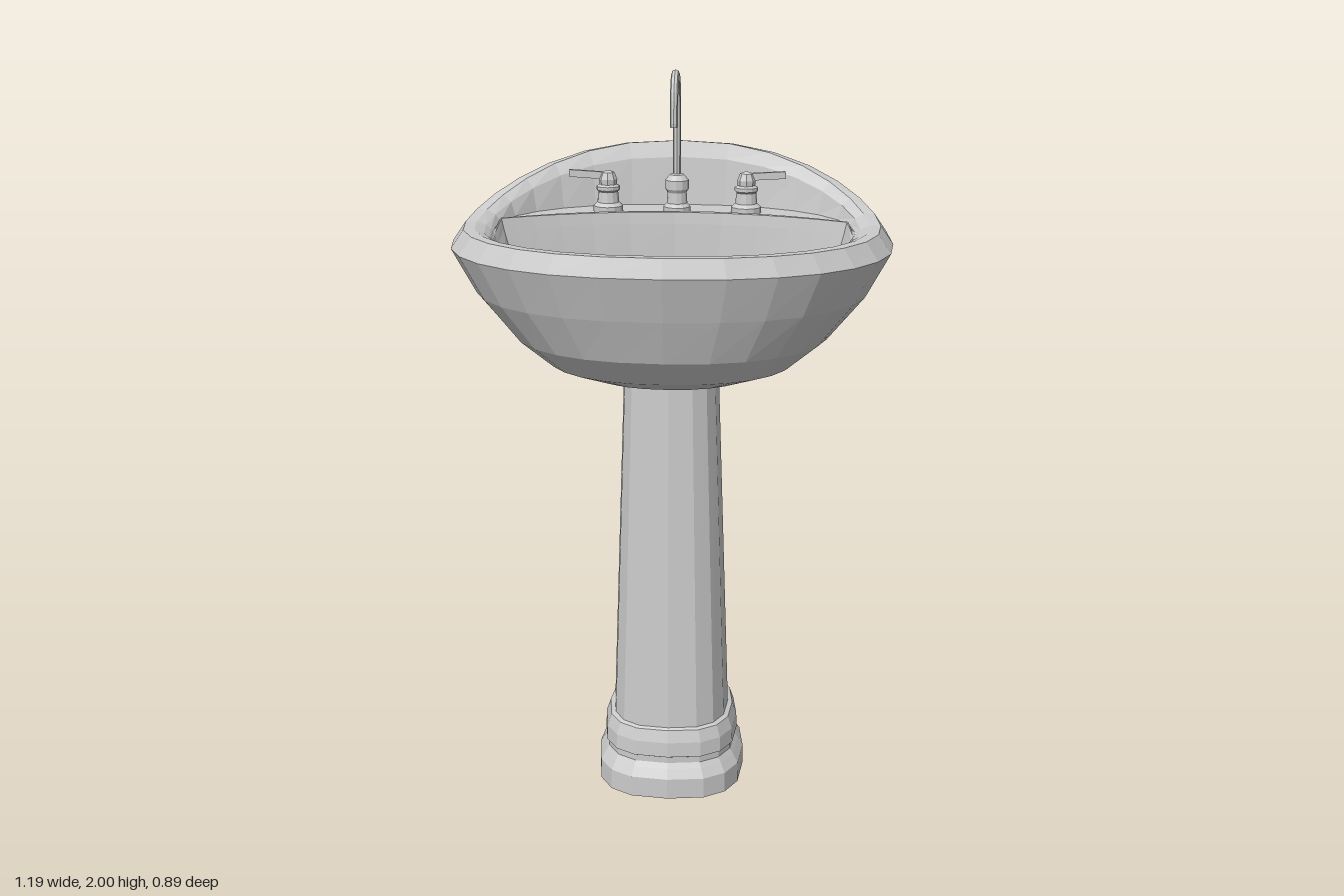
import * as THREE from 'three';

const SEG = 28;
const material = () => new THREE.MeshStandardMaterial({ color: 0xcccccc, flatShading: true });

function addMesh(parent, name, geometry, x = 0, y = 0, z = 0) {
  const mesh = new THREE.Mesh(geometry, material());
  mesh.name = name;
  mesh.position.set(x, y, z);
  parent.add(mesh);
  return mesh;
}

// Rounded oval ring: half width a, reach to the front and back, height y.
// rise lifts the back; arc (if given) cuts the back off along a curved ledge line.
function ring({ a, front, back, y, rise = 0, arc = null, bump = 0, power = 2.3, n = SEG, shift = 0 }) {
  const points = [];
  const soft = (v) => Math.sign(v) * Math.pow(Math.abs(v), 2 / power);
  for (let i = 0; i < n; i++) {
    const t = (i / n) * Math.PI * 2;
    const x = a * soft(Math.cos(t));
    const s = soft(Math.sin(t));
    let z = s * (s > 0 ? front : back);
    let h = y + (s < 0 ? rise * s * s : 0);
    if (arc !== null) {
      const limit = arc * (1 - 0.7 * (x / a) ** 2);
      if (z < limit) {
        z = limit;
        h += bump;
      }
    }
    points.push(new THREE.Vector3(x, h, z + shift));
  }
  return points;
}

// Skin a list of rings and close both ends with fans
function loft(rings) {
  const n = rings[0].length;
  const position = [];
  const index = [];
  rings.forEach((r) => r.forEach((p) => position.push(p.x, p.y, p.z)));
  for (let i = 0; i < rings.length - 1; i++) {
    for (let j = 0; j < n; j++) {
      const k = (j + 1) % n;
      const a = i * n + j, b = i * n + k, c = a + n, d = b + n;
      index.push(a, c, b, b, c, d);
    }
  }
  [0, rings.length - 1].forEach((i) => {
    const center = new THREE.Vector3();
    rings[i].forEach((p) => center.addScaledVector(p, 1 / n));
    const m = position.length / 3;
    position.push(center.x, center.y, center.z);
    for (let j = 0; j < n; j++) {
      const p = i * n + j, q = i * n + ((j + 1) % n);
      if (i === 0) index.push(m, p, q);
      else index.push(m, q, p);
    }
  });
  const geometry = new THREE.BufferGeometry();
  geometry.setAttribute('position', new THREE.Float32BufferAttribute(position, 3));
  geometry.setIndex(index);
  geometry.computeVertexNormals();
  return geometry;
}

const lathe = (profile, sides = 12) =>
  new THREE.LatheGeometry(profile.map(([r, y]) => new THREE.Vector2(r, y)), sides);

function createBasin() {
  // Underside, rim and inner wall: half width, front, back, height, back rise
  const shell = [
    [0.13, 0.16, 0.10, 1.20, 0],
    [0.23, 0.22, 0.18, 1.208, 0],
    [0.34, 0.30, 0.26, 1.245, 0.01],
    [0.43, 0.365, 0.335, 1.32, 0.02],
    [0.53, 0.41, 0.40, 1.44, 0.06],
    [0.595, 0.448, 0.445, 1.56, 0.16],
    [0.56, 0.43, 0.41, 1.61, 0.16],
    [0.53, 0.405, 0.375, 1.61, 0.165],
    [0.505, 0.388, 0.36, 1.60, 0.13],
    [0.492, 0.378, 0.348, 1.59, 0.005],
  ].map(([a, front, back, y, rise]) => ring({ a, front, back, y, rise }));
  // Ledge, its raised lip and the bowl: half width, front, height, ledge line, lip height
  const bowl = [
    [0.488, 0.372, 1.585, -0.195, 0.008],
    [0.486, 0.369, 1.58, -0.19, 0.027],
    [0.482, 0.364, 1.575, -0.17, 0.032],
    [0.475, 0.355, 1.55, -0.167, 0.025],
    [0.45, 0.335, 1.48, -0.163, 0],
    [0.39, 0.29, 1.38, -0.15, 0],
    [0.29, 0.22, 1.305, -0.12, 0],
    [0.17, 0.13, 1.265, -0.085, 0],
    [0.06, 0.06, 1.255, -0.045, 0],
  ].map(([a, front, y, arc, bump]) => ring({ a, front, back: 0.348 * a / 0.492, y, arc, bump }));
  return loft([...shell, ...bowl]);
}

function createPedestal() {
  // Half width, half depth, height
  const steps = [
    [0.21, 0.22, 0], [0.21, 0.22, 0.06], [0.195, 0.205, 0.085], [0.185, 0.195, 0.1],
    [0.185, 0.195, 0.118], [0.192, 0.202, 0.122], [0.19, 0.2, 0.165], [0.178, 0.19, 0.2],
    [0.165, 0.182, 0.205], [0.13, 0.137, 1.22],
  ];
  return loft(steps.map(([a, d, y]) =>
    ring({ a, front: d, back: d, y, power: 2.7, n: 16, shift: 0.03 })));
}

function createSpout() {
  const group = new THREE.Group();
  group.name = 'spout';
  addMesh(group, 'spoutBase', lathe([
    [0.038, 1.585], [0.038, 1.61], [0.029, 1.62], [0.027, 1.65], [0.033, 1.66],
    [0.033, 1.685], [0.02, 1.7], [0, 1.705],
  ]), 0, 0, -0.245);
  const path = new THREE.CatmullRomCurve3([
    [1.69, -0.245], [1.8, -0.245], [1.91, -0.243], [1.96, -0.222], [1.987, -0.175],
    [1.982, -0.13], [1.945, -0.099], [1.86, -0.083],
  ].map(([y, z]) => new THREE.Vector3(0, y, z)));
  addMesh(group, 'spoutPipe', new THREE.TubeGeometry(path, 24, 0.011, 8, false));
  // Closed pipe end
  addMesh(group, 'spoutTip', new THREE.CylinderGeometry(0.011, 0.011, 0.01, 8), 0, 1.86, -0.083);
  return group;
}

function createHandle(side) {
  const group = new THREE.Group();
  group.name = side > 0 ? 'leftHandle' : 'rightHandle';
  group.position.set(side * 0.195, 0, -0.248);
  addMesh(group, 'handleBase', lathe([
    [0.042, 1.585], [0.042, 1.61], [0.031, 1.62], [0.028, 1.65], [0.033, 1.655],
    [0.033, 1.665], [0.02, 1.672], [0, 1.672],
  ]));
  addMesh(group, 'handleKnob', lathe([
    [0.024, 1.665], [0.026, 1.685], [0.018, 1.704], [0, 1.71],
  ], 8));
  // Flat lever pointing outward
  const lever = addMesh(group, 'handleLever', new THREE.BoxGeometry(0.11, 0.02, 0.011), side * 0.055, 1.697, 0);
  lever.rotation.z = side * 0.06;
  return group;
}

function createDrain() {
  const group = new THREE.Group();
  group.name = 'drain';
  group.position.set(0, 1.257, 0.01);
  addMesh(group, 'drainRing', lathe([
    [0.068, -0.005], [0.066, 0.012], [0.054, 0.014], [0.05, 0.002], [0, 0.002],
  ], 6));
  addMesh(group, 'drainPlug', lathe([
    [0.036, 0], [0.043, 0.014], [0.036, 0.022], [0, 0.027],
  ], 10));
  return group;
}

export function createModel() {
  const model = new THREE.Group();
  model.name = 'pedestalSink';
  addMesh(model, 'basin', createBasin());
  addMesh(model, 'pedestal', createPedestal());
  model.add(createSpout(), createHandle(1), createHandle(-1), createDrain());
  return model;
}
